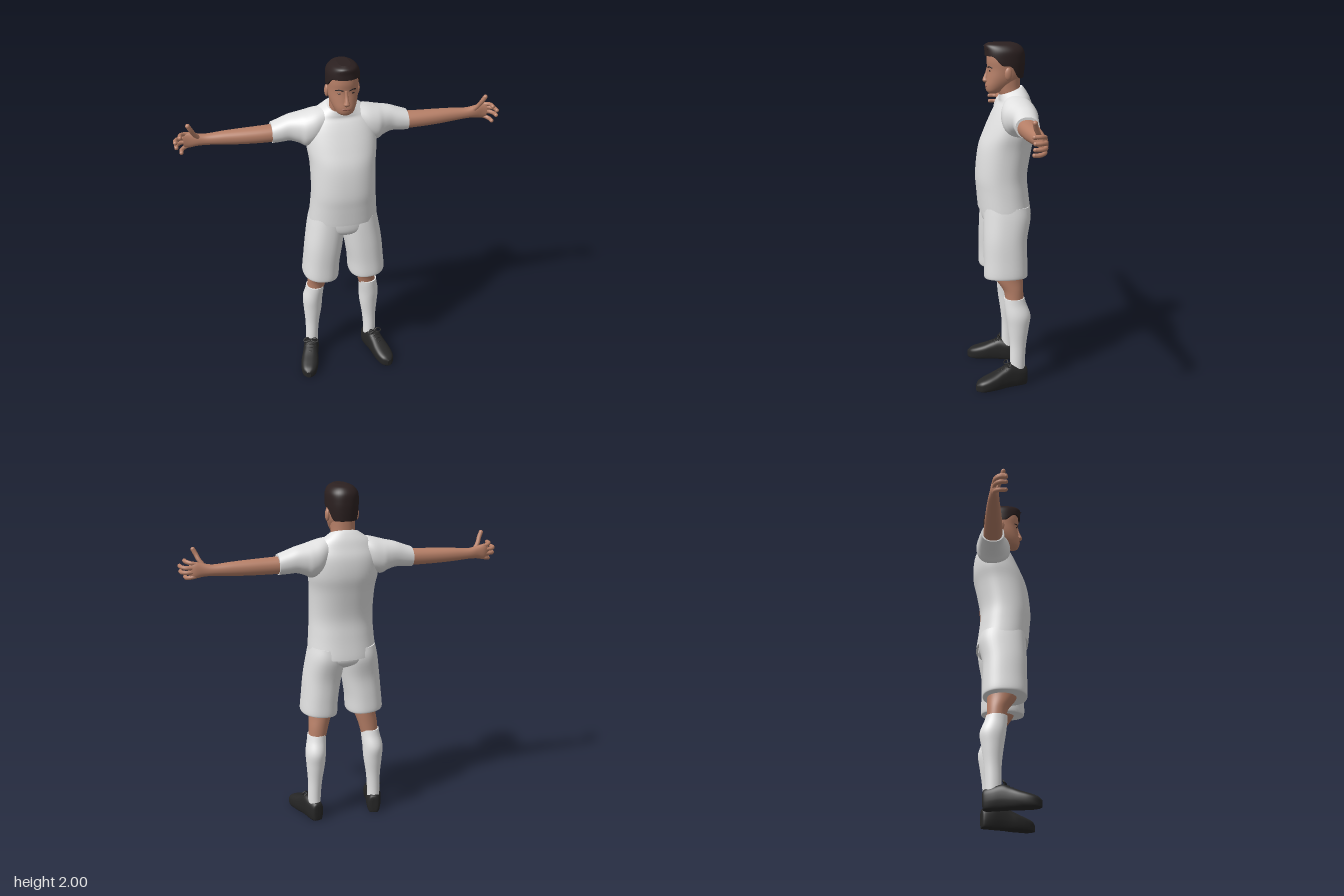
import * as THREE from 'three';

const paint = (name, color) => {
  const m = new THREE.MeshStandardMaterial({ color });
  m.name = name;
  return m;
};

// Smooth body along an axis. Rows: [t, centreA, centreB, radiusA, radiusB];
// (A, B) are (z, x) for axis y, (y, z) for axis x and (x, y) for axis z.
function loft(axis, rows, { p = 2.2, sub = 5, n = 40, warp } = {}) {
  const place = {
    x: (t, a, b) => new THREE.Vector3(t, a, b),
    y: (t, a, b) => new THREE.Vector3(b, t, a),
    z: (t, a, b) => new THREE.Vector3(a, b, t),
  }[axis];
  const row = (i) => rows[Math.min(Math.max(i, 0), rows.length - 1)];
  const rings = [];
  const total = (rows.length - 1) * sub;
  for (let s = 0; s <= total; s++) {
    const i = Math.min(Math.floor(s / sub), rows.length - 2), f = s / sub - i;
    const [t, a, b, ra, rb] = row(i).map((v, k) => {
      const v0 = row(i - 1)[k], v2 = row(i + 1)[k], v3 = row(i + 2)[k];
      const m1 = (v2 - v0) / 2, m2 = (v3 - v) / 2;
      return v + f * (m1 + f * (3 * (v2 - v) - 2 * m1 - m2 + f * (2 * (v - v2) + m1 + m2)));
    });
    const ring = [];
    for (let j = 0; j < n; j++) {
      const c = Math.cos((j / n) * Math.PI * 2), d = Math.sin((j / n) * Math.PI * 2);
      const pt = place(t,
        a + ra * Math.sign(c) * Math.abs(c) ** (2 / p),
        b + rb * Math.sign(d) * Math.abs(d) ** (2 / p));
      if (warp) warp(pt);
      ring.push(pt);
    }
    rings.push(ring);
  }
  const pts = rings.flat(), index = [];
  for (let i = 0; i < total; i++) for (let j = 0; j < n; j++) {
    const k = (j + 1) % n, A = i * n + j, B = i * n + k;
    index.push(A, B, A + n, B, B + n, A + n);
  }
  // End caps with their own vertices, so the rims stay crisp
  for (const [ring, flip] of [[rings[0], true], [rings[total], false]]) {
    const o = pts.length;
    const mid = ring.reduce((s, v) => s.add(v), new THREE.Vector3()).divideScalar(n);
    pts.push(...ring, mid);
    for (let j = 0; j < n; j++) {
      const k = (j + 1) % n;
      if (flip) index.push(o + k, o + j, o + n); else index.push(o + j, o + k, o + n);
    }
  }
  const g = new THREE.BufferGeometry().setFromPoints(pts);
  g.setIndex(index);
  g.computeVertexNormals();
  return g;
}

function mirrored(geo) {
  const g = geo.clone().scale(-1, 1, 1), ix = g.index.array;
  for (let i = 0; i < ix.length; i += 3) [ix[i], ix[i + 1]] = [ix[i + 1], ix[i]];
  return g;
}

const ball = (x, y, z, rx, ry, rz) =>
  new THREE.SphereGeometry(1, 20, 14).scale(rx, ry, rz).translate(x, y, z);
const tube = (pts, r) => new THREE.TubeGeometry(
  new THREE.CatmullRomCurve3(pts.map((q) => new THREE.Vector3(...q))), 14, r, 10);

export function createModel() {
  const model = new THREE.Group();
  const white = paint('white kit', 0xe0e0e0), sockWhite = paint('sock white', 0xf0f0f0);
  const skin = paint('skin', 0xb67f67), hairColor = paint('dark brown hair', 0x2b2020);
  const black = paint('black shoe', 0x262626), lip = paint('lip', 0x985f50);
  const add = (name, geo, mat) => {
    const m = new THREE.Mesh(geo, mat);
    m.name = name;
    model.add(m);
  };
  const both = (name, geo, mat) => {
    add('left ' + name, geo, mat);
    add('right ' + name, mirrored(geo), mat);
  };
  const step = THREE.MathUtils.smoothstep;

  // Shirt: hem dips at the back, collar dips at the front
  add('shirt', loft('y', [
    [1.03, -0.01, 0, 0.153, 0.2], [1.06, -0.007, 0, 0.153, 0.198], [1.15, 0.003, 0, 0.15, 0.19],
    [1.25, 0.009, 0, 0.149, 0.185], [1.4, -0.012, 0, 0.153, 0.188], [1.5, -0.04, 0, 0.145, 0.2],
    [1.6, -0.061, 0, 0.121, 0.195], [1.67, -0.066, 0, 0.09, 0.165], [1.71, -0.055, 0, 0.075, 0.115],
    [1.735, -0.046, 0, 0.066, 0.08],
  ], { p: 2.3, n: 56, warp: (v) => {
    v.y += v.z * 0.13 * (1 - step(v.y, 1.05, 1.25)) - (v.z + 0.06) * 0.35 * step(v.y, 1.64, 1.73);
  } }), white);
  both('sleeve', loft('x', [
    [0.07, 1.64, -0.06, 0.075, 0.06], [0.14, 1.612, -0.068, 0.095, 0.095], [0.2, 1.592, -0.073, 0.1, 0.1],
    [0.24, 1.596, -0.08, 0.086, 0.088], [0.29, 1.598, -0.085, 0.073, 0.075], [0.34, 1.588, -0.084, 0.065, 0.07],
    [0.39, 1.578, -0.083, 0.057, 0.066],
  ]), white);

  // Shorts
  add('shorts seat', loft('y', [
    [0.93, 0, 0, 0.05, 0.04], [0.965, -0.01, 0, 0.115, 0.12], [1.0, -0.013, 0, 0.137, 0.18],
    [1.07, -0.01, 0, 0.137, 0.19],
  ]), white);
  both('shorts leg', loft('y', [
    [0.658, 0, 0.14, 0.118, 0.098], [0.67, 0, 0.14, 0.127, 0.107], [0.76, 0, 0.133, 0.126, 0.106],
    [0.88, 0, 0.118, 0.127, 0.109], [1.0, -0.012, 0.1, 0.136, 0.108], [1.07, -0.01, 0.095, 0.13, 0.098],
  ], { p: 2.3, warp: (v) => { v.y += (v.x - 0.14) * 0.09; } }), white);

  // Legs, socks and shoes
  both('knee', loft('y', [
    [0.5, -0.05, 0.165, 0.052, 0.05], [0.58, -0.043, 0.152, 0.058, 0.058],
    [0.66, -0.017, 0.136, 0.083, 0.067], [0.76, -0.01, 0.13, 0.088, 0.075],
  ], { p: 2 }), skin);
  both('sock', loft('y', [
    [0.07, -0.065, 0.187, 0.043, 0.037], [0.15, -0.065, 0.187, 0.044, 0.038], [0.25, -0.068, 0.183, 0.048, 0.043],
    [0.35, -0.07, 0.179, 0.061, 0.055], [0.43, -0.069, 0.178, 0.072, 0.06], [0.5, -0.053, 0.169, 0.064, 0.056],
    [0.535, -0.047, 0.165, 0.06, 0.055],
  ], { p: 2 }), sockWhite);
  const toFoot = (g) => g.rotateY(0.27).translate(0.19, 0, -0.065);
  both('shoe', toFoot(loft('z', [
    [-0.057, 0, 0.06, 0.012, 0.03], [-0.048, 0, 0.055, 0.034, 0.055], [0, 0, 0.06, 0.045, 0.06],
    [0.055, 0, 0.066, 0.046, 0.066], [0.1, 0, 0.057, 0.048, 0.057], [0.15, 0, 0.046, 0.053, 0.046],
    [0.2, 0, 0.037, 0.051, 0.037], [0.24, 0, 0.029, 0.038, 0.029], [0.262, 0, 0.025, 0.012, 0.014],
  ], { p: 2.7, warp: (v) => { if (v.y < 0.03) v.y = Math.max(0, (v.y - 0.012) * 1.67); } })), black);
  for (let i = 0; i < 4; i++) {
    const z = 0.062 + i * 0.022, y = 0.133 - i * 0.012;
    both('lace', toFoot(tube([[-0.032, y - 0.012, z], [0, y + 0.003, z], [0.032, y - 0.012, z]], 0.004)), black);
  }
  for (const s of [-1, 1]) {
    both('lace bow', toFoot(tube([[0, 0.135, 0.06], [s * 0.025, 0.152, 0.058], [s * 0.045, 0.135, 0.068],
      [s * 0.025, 0.13, 0.075], [0, 0.135, 0.062]], 0.004)), black);
  }

  // Arms and hands
  both('arm', loft('x', [
    [0.36, 1.575, -0.083, 0.048, 0.056], [0.45, 1.573, -0.083, 0.046, 0.053], [0.55, 1.572, -0.086, 0.043, 0.048],
    [0.65, 1.572, -0.09, 0.038, 0.04], [0.745, 1.572, -0.092, 0.031, 0.031], [0.8, 1.576, -0.091, 0.036, 0.025],
    [0.845, 1.578, -0.092, 0.045, 0.019], [0.875, 1.578, -0.086, 0.038, 0.012],
  ], { n: 28 }), skin);
  const digit = (name, pts, r) => {
    both(name, tube(pts, r), skin);
    both(name + ' tip', ball(...pts[pts.length - 1], r, r, r), skin);
  };
  [[0.893, 1.622], [0.92, 1.595], [0.917, 1.565], [0.892, 1.533]].forEach(([x, y], i) => {
    const y0 = 1.611 - i * 0.022;
    digit('finger', [[0.84, y0, -0.094], [x - 0.025, (y + y0) / 2, -0.09],
      [x - 0.003, y, -0.067], [x, y, -0.035]], 0.0115);
  });
  digit('thumb', [[0.785, 1.583, -0.085], [0.818, 1.625, -0.066], [0.832, 1.655, -0.052], [0.846, 1.683, -0.045]], 0.013);

  // Neck and head
  add('neck', loft('y', [
    [1.64, -0.048, 0, 0.055, 0.075], [1.7, -0.042, 0, 0.06, 0.071], [1.75, -0.032, 0, 0.068, 0.068],
    [1.82, -0.03, 0, 0.07, 0.07],
  ]), skin);
  add('head', loft('y', [
    [1.713, 0.055, 0, 0.022, 0.022], [1.727, 0.046, 0, 0.046, 0.046], [1.758, 0.02, 0, 0.078, 0.065],
    [1.8, -0.004, 0, 0.096, 0.079], [1.85, -0.014, 0, 0.1, 0.084], [1.9, -0.014, 0, 0.105, 0.085],
    [1.95, -0.012, 0, 0.096, 0.078], [1.985, -0.01, 0, 0.06, 0.045],
  ], { sub: 6 }), skin);
  add('nose', loft('y', [
    [1.772, 0.092, 0, 0.008, 0.01], [1.785, 0.096, 0, 0.018, 0.018], [1.8, 0.093, 0, 0.018, 0.013],
    [1.83, 0.086, 0, 0.012, 0.009], [1.86, 0.08, 0, 0.01, 0.01],
  ], { n: 20 }), skin);
  both('ear', ball(0.086, 1.828, -0.022, 0.013, 0.036, 0.021).rotateZ(0), skin);
  add('mouth', ball(0, 1.755, 0.094, 0.027, 0.006, 0.006), lip);
  both('eye', ball(0.033, 1.843, 0.075, 0.013, 0.005, 0.006), hairColor);
  both('eyebrow', tube([[0.016, 1.86, 0.084], [0.037, 1.865, 0.078], [0.056, 1.859, 0.062]], 0.004), hairColor);

  // Hair: low at the nape, rising over the ears to the forehead
  add('hair', loft('y', [
    [1.79, -0.02, 0, 0.096, 0.082], [1.85, -0.016, 0, 0.108, 0.089], [1.9, -0.013, 0, 0.114, 0.092],
    [1.95, -0.01, 0, 0.112, 0.089], [1.982, 0.003, 0, 0.1, 0.068], [1.997, 0.01, 0, 0.07, 0.035],
  ], { sub: 8, n: 48, warp: (v) => {
    const edge = 1.8 + 0.07 * step(v.z, -0.09, -0.035) + 0.055 * step(v.z, 0, 0.07);
    v.y = Math.max(v.y, edge);
  } }), hairColor);
  for (let i = -3; i <= 3; i++) {
    add('fringe tuft', new THREE.ConeGeometry(0.016, 0.05, 7).rotateX(1.35)
      .rotateY(i * 0.12).translate(i * 0.014, 1.975 - Math.abs(i) * 0.005, 0.088 - Math.abs(i) * 0.006), hairColor);
  }
  return model;
}
